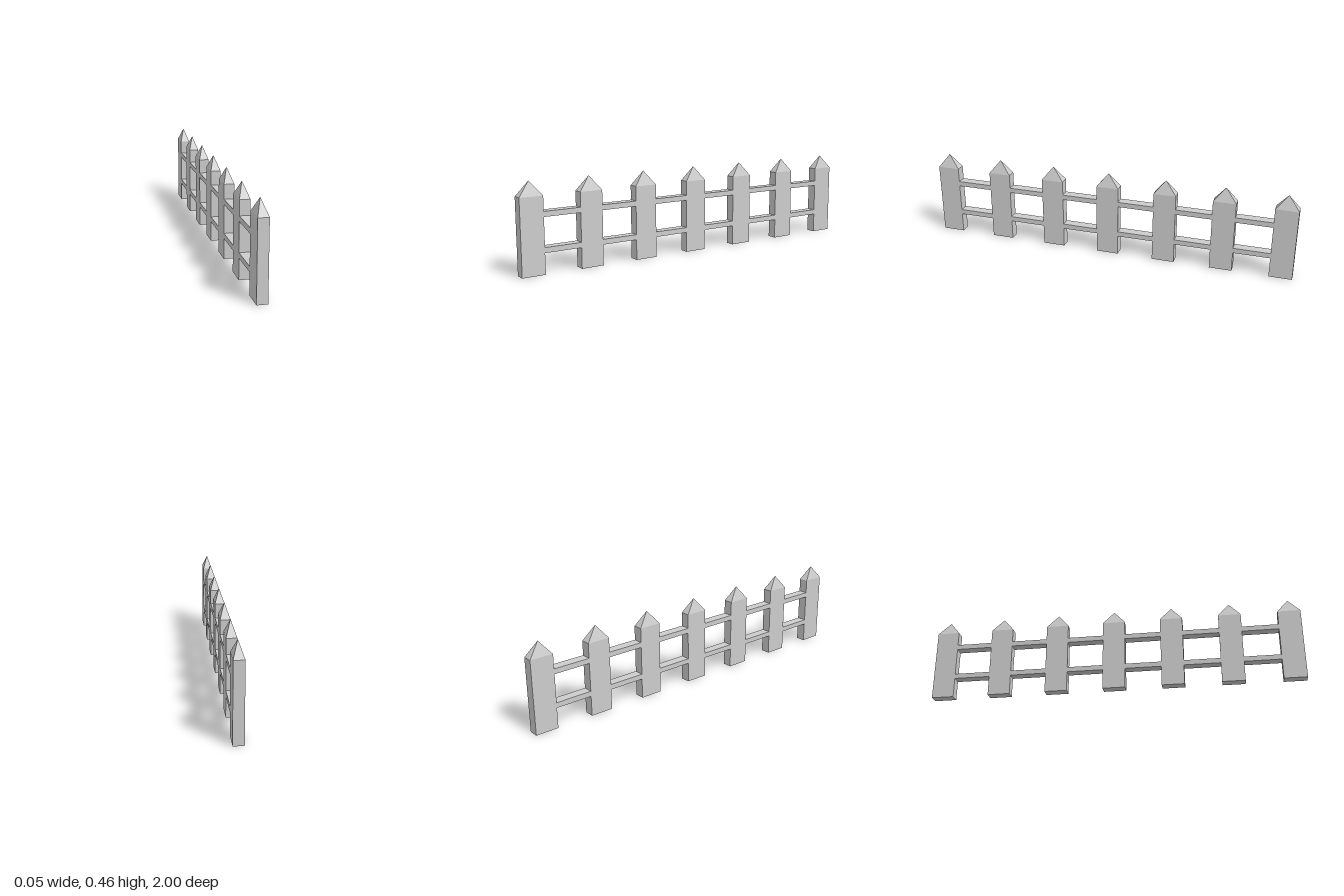
import * as THREE from 'three';

const COUNT = 7;
const THICK = 0.052;   // along x
const WIDTH = 0.12;    // along z
const POST_H = 0.384;
const TIP_H = 0.074;
const PITCH = (2 - WIDTH) / (COUNT - 1);
const RAIL_H = 0.027;
const RAIL_LEVELS = { lowerRail: 0.12, upperRail: 0.295 };

export function createModel() {
  const fence = new THREE.Group();
  fence.name = 'picketFence';
  const material = new THREE.MeshStandardMaterial({ color: 0xcccccc, flatShading: true });

  const postGeo = new THREE.BoxGeometry(THICK, POST_H, WIDTH).translate(0, POST_H / 2, 0);

  // Four-sided point with a unit square base, stretched to the post section
  const tipGeo = new THREE.ConeGeometry(Math.SQRT1_2, TIP_H, 4, 1, true)
    .rotateY(Math.PI / 4)
    .scale(THICK, 1, WIDTH)
    .translate(0, POST_H + TIP_H / 2, 0);

  // Rails are flush with the pickets, so each piece only fills one gap
  const railGeo = new THREE.BoxGeometry(THICK, RAIL_H, PITCH - WIDTH);

  const add = (parent, name, geometry, y, z) => {
    const mesh = new THREE.Mesh(geometry, material);
    mesh.name = name;
    mesh.position.set(0, y, z);
    parent.add(mesh);
  };

  // Pickets
  for (let i = 0; i < COUNT; i++) {
    const picket = new THREE.Group();
    picket.name = `picket${i + 1}`;
    picket.position.z = (i - (COUNT - 1) / 2) * PITCH;
    add(picket, 'picketPost', postGeo, 0, 0);
    add(picket, 'picketPoint', tipGeo, 0, 0);
    fence.add(picket);
  }

  // Rails
  for (const [name, y] of Object.entries(RAIL_LEVELS)) {
    const rail = new THREE.Group();
    rail.name = name;
    for (let i = 0; i < COUNT - 1; i++) {
      add(rail, `${name}Piece${i + 1}`, railGeo, y, (i - (COUNT - 2) / 2) * PITCH);
    }
    fence.add(rail);
  }

  return fence;
}
